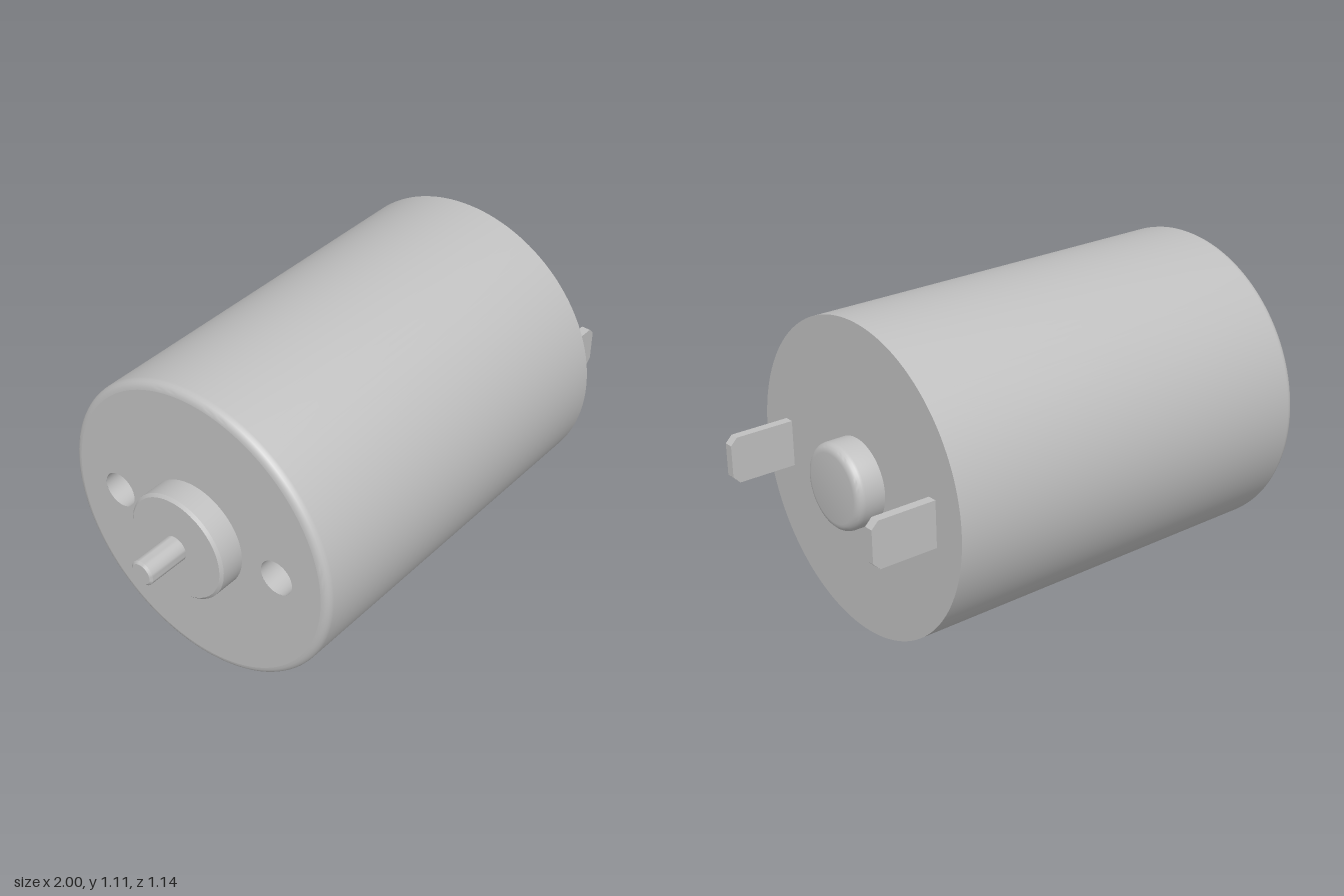
import * as THREE from 'three';
import { toCreasedNormals } from 'three/addons/utils/BufferGeometryUtils.js';

const R = 0.557, X0 = -0.74, X1 = 0.75, FILLET = 0.03;
const HOLE_R = 0.065, HOLE_Z = 0.345;

// Quarter-round from angle a to b, as [radius, x] points
function arc(r, x, rad, a, b, n = 5) {
  return Array.from({ length: n + 1 }, (_, i) => {
    const t = a + (b - a) * i / n;
    return [r + rad * Math.cos(t), x + rad * Math.sin(t)];
  });
}

// Solid of revolution about the x axis from [radius, x] points
function turned(points, segments) {
  const g = new THREE.LatheGeometry(points.map(p => new THREE.Vector2(...p)), segments);
  g.rotateZ(-Math.PI / 2);
  return toCreasedNormals(g, 0.6);
}

export function createModel() {
  const steel = new THREE.MeshStandardMaterial({ color: 0xc0c0c0 });
  steel.name = 'grey steel';
  const model = new THREE.Group();
  model.name = 'electricMotor';
  const add = (name, geometry) => {
    const m = new THREE.Mesh(geometry, steel);
    m.name = name;
    model.add(m);
    return m;
  };

  // Can: rounded at the shaft end, sharp and closed at the terminal end
  add('can', turned([
    ...arc(R - FILLET, X0 + FILLET, FILLET, -Math.PI / 2, 0),
    [R, X1], [0, X1],
  ], 128));

  // Shaft-end face with two mounting holes
  const face = new THREE.Shape().absarc(0, 0, R - FILLET, 0, Math.PI * 2);
  for (const s of [-1, 1]) {
    face.holes.push(new THREE.Path().absarc(s * HOLE_Z, 0, HOLE_R, 0, Math.PI * 2, true));
  }
  const faceGeo = new THREE.ShapeGeometry(face, 64);
  faceGeo.rotateY(-Math.PI / 2);
  add('shaftEndFace', faceGeo).position.x = X0;

  // Blind bores of the mounting holes
  for (const s of [-1, 1]) {
    add('mountingHole', turned([[0, X0 + 0.1], [HOLE_R, X0 + 0.1], [HOLE_R, X0]], 32))
      .position.z = s * HOLE_Z;
  }

  // Bearing boss and output shaft
  add('bearingBoss', turned([[0, -0.838], [0.19, -0.838], [0.2, -0.828], [0.2, X0]], 64));
  add('shaft', turned([[0, -1], [0.038, -1], [0.046, -0.992], [0.046, -0.83]], 32));

  // Rounded rear bearing cap
  add('rearCap', turned([
    [0.152, X1], ...arc(0.122, 0.823, 0.03, 0, Math.PI / 2), [0, 0.853],
  ], 64));

  // Terminal blades with clipped outer corners
  const h = 0.083, tip = 0.992, c = 0.025;
  const blade = new THREE.Shape([
    [0.74, -h], [tip - c, -h], [tip, -h + c], [tip, h - c], [tip - c, h], [0.74, h],
  ].map(p => new THREE.Vector2(...p)));
  for (const s of [-1, 1]) {
    const g = new THREE.ExtrudeGeometry(blade, { depth: 0.034, bevelEnabled: false });
    g.translate(0, 0, -0.017);
    add(s > 0 ? 'frontTerminal' : 'backTerminal', g).position.z = s * 0.409;
  }

  // Slight yaw and roll of the whole motor
  model.rotation.set(0.01, -0.0175, 0);
  model.position.set(0, R, -0.003);
  const root = new THREE.Group();
  root.add(model);
  return root;
}
